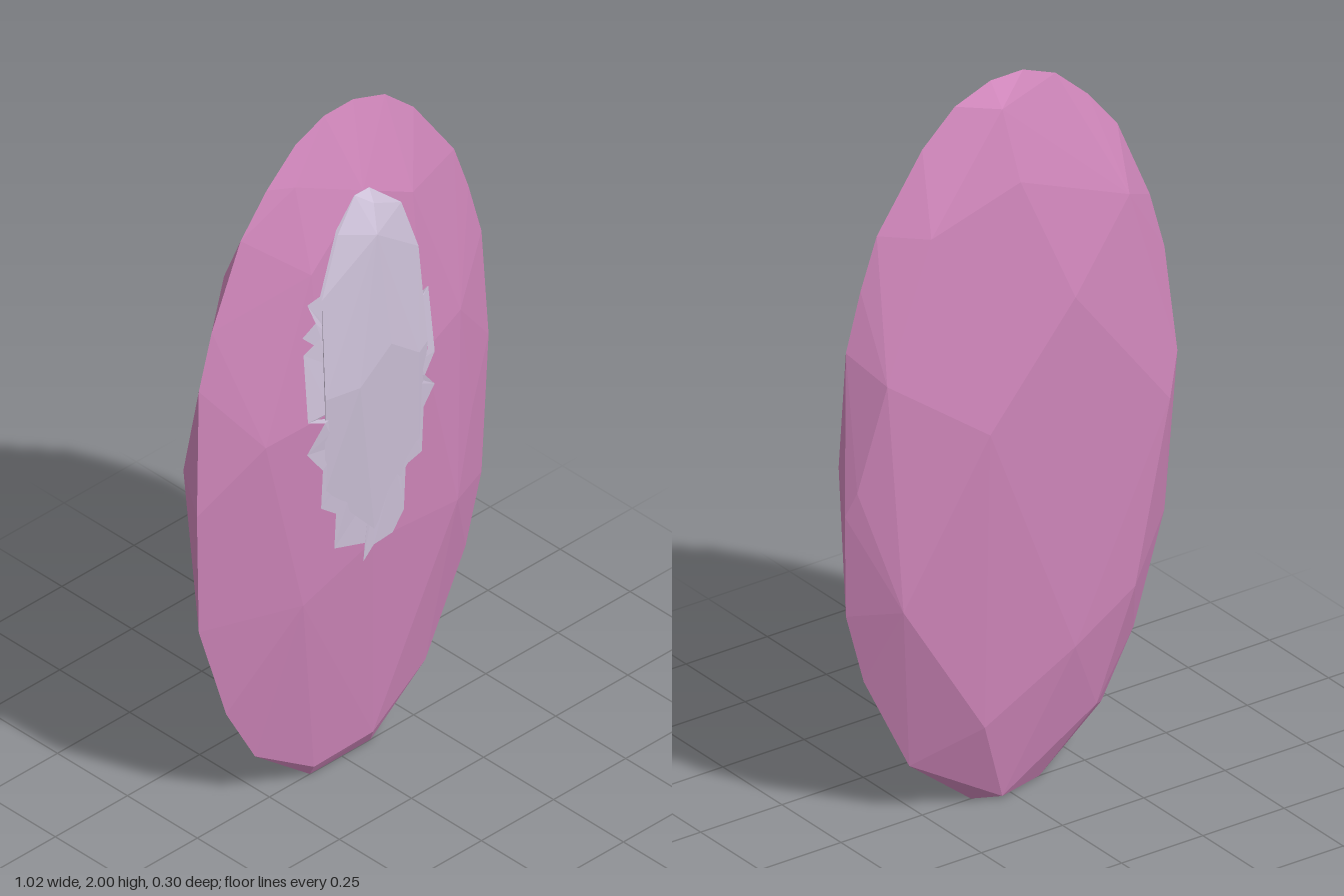
import * as THREE from 'three';
import { ConvexGeometry } from 'three/addons/geometries/ConvexGeometry.js';

const hull = (points) => new ConvexGeometry(points.map((p) => new THREE.Vector3(...p)));

export function createModel() {
  const model = new THREE.Group();
  const pink = new THREE.MeshStandardMaterial({ color: 0xcf86ba });
  pink.name = 'orchid pink';
  const pale = new THREE.MeshStandardMaterial({ color: 0xcdc1d8 });
  pale.name = 'pale lilac';

  // Faceted oval body: rim, front corners and back corners
  const rim = [
    [0.04, 2], [-0.06, 2], [-0.16, 1.96], [-0.26, 1.87], [-0.35, 1.76], [-0.45, 1.53],
    [-0.495, 1.37], [-0.513, 1, 0.012], [-0.495, 0.63], [-0.4, 0.33], [-0.3, 0.15],
    [-0.11, 0], [0.1, 0], [0.29, 0.15], [0.43, 0.43], [0.485, 0.63],
    [0.51, 0.93, -0.03], [0.5, 1.05, 0.01], [0.485, 1.37], [0.44, 1.53], [0.39, 1.67],
    [0.25, 1.87], [0.15, 1.96],
  ].map(([x, y, z = 0]) => [x, y, z]);
  const front = [
    [0.07, 0.06, 0.04], [-0.12, 0.04, 0.025], [-0.22, 0.62, 0.09], [0.32, 0.67, 0.085],
    [0, 0.72, 0.112], [-0.35, 1.17, 0.09], [-0.18, 1.2, 0.124], [0.17, 1.22, 0.122],
    [0.33, 1.25, 0.085], [0.17, 1.69, 0.08], [-0.19, 1.62, 0.088], [0, 1.78, 0.077],
    [-0.19, 1.86, 0.03], [0.4, 0.9, 0.055],
  ];
  const back = [
    [0.15, 1.1, -0.151], [-0.12, 1.4, -0.14], [0.43, 1.3, -0.1], [-0.44, 1.0, -0.1],
    [0.02, 1.75, -0.1], [0.28, 1.66, -0.08], [-0.33, 1.6, -0.08], [0.04, 1.94, -0.05],
    [-0.14, 0.4, -0.112], [0.13, 0.25, -0.1], [0.04, 0.01, -0.05], [0.38, 0.65, -0.1],
    [-0.34, 0.5, -0.09], [0.49, 1.0, -0.055], [-0.495, 1.1, -0.055], [-0.25, 0.18, -0.05],
  ];
  const body = new THREE.Mesh(hull([...rim, ...front, ...back]), pink);
  body.name = 'body';
  model.add(body);

  // Raised pale patch, partly sunk into the front of the body
  const patch = new THREE.Mesh(hull([
    [-0.03, 1.78, 0.078], [0.02, 1.78, 0.078], [0.01, 1.75, 0.105], [-0.01, 1.68, 0.138],
    [-0.1, 1.7, 0.09], [0.12, 1.69, 0.09], [-0.17, 1.54, 0.105], [0.165, 1.54, 0.105],
    [-0.08, 1.25, 0.15], [0.03, 1.33, 0.148], [0.14, 1.24, 0.134], [-0.18, 1.25, 0.128],
    [0.18, 1.25, 0.122], [-0.17, 0.95, 0.115], [0.16, 0.95, 0.114], [0, 0.76, 0.117],
    [0, 1.2, 0.03],
  ]), pale);
  patch.name = 'frontPatch';
  model.add(patch);

  // Ragged margin of the patch, laid onto the body's front surface
  const margin = [
    [-0.03, 1.78], [-0.1, 1.71], [-0.17, 1.55], [-0.21, 1.54], [-0.19, 1.48], [-0.23, 1.45],
    [-0.18, 1.43], [-0.23, 1.4], [-0.23, 1.2], [-0.18, 1.18], [-0.23, 1.1], [-0.18, 1.03],
    [-0.18, 0.91], [-0.13, 0.87], [-0.13, 0.76], [-0.03, 0.73], [-0.03, 0.67], [0, 0.71],
    [0.07, 0.71], [0.11, 0.76], [0.11, 0.9], [0.17, 0.91], [0.17, 1.05], [0.21, 1.1],
    [0.17, 1.15], [0.21, 1.2], [0.2, 1.4], [0.17, 1.4], [0.165, 1.55], [0.12, 1.69], [0.02, 1.78],
  ];
  body.updateMatrixWorld();
  const ray = new THREE.Raycaster();
  const onBody = ([x, y]) => {
    ray.set(new THREE.Vector3(x, y, 1), new THREE.Vector3(0, 0, -1));
    const hit = ray.intersectObject(body)[0];
    return [x, y, (hit ? hit.point.z : 0.1) + 0.004];
  };
  const loop = margin.map(onBody);
  const inner = margin.map(([x, y]) => onBody([x * 0.7, 1.22 + (y - 1.22) * 0.7]));
  const corners = [];
  loop.forEach((a, i) => {
    const j = (i + 1) % loop.length;
    corners.push(...a, ...loop[j], ...inner[j], ...a, ...inner[j], ...inner[i]);
  });
  const fringeGeometry = new THREE.BufferGeometry();
  fringeGeometry.setAttribute('position', new THREE.Float32BufferAttribute(corners, 3));
  fringeGeometry.computeVertexNormals();
  const fringe = new THREE.Mesh(fringeGeometry, pale);
  fringe.name = 'patchMargin';
  model.add(fringe);

  return model;
}
